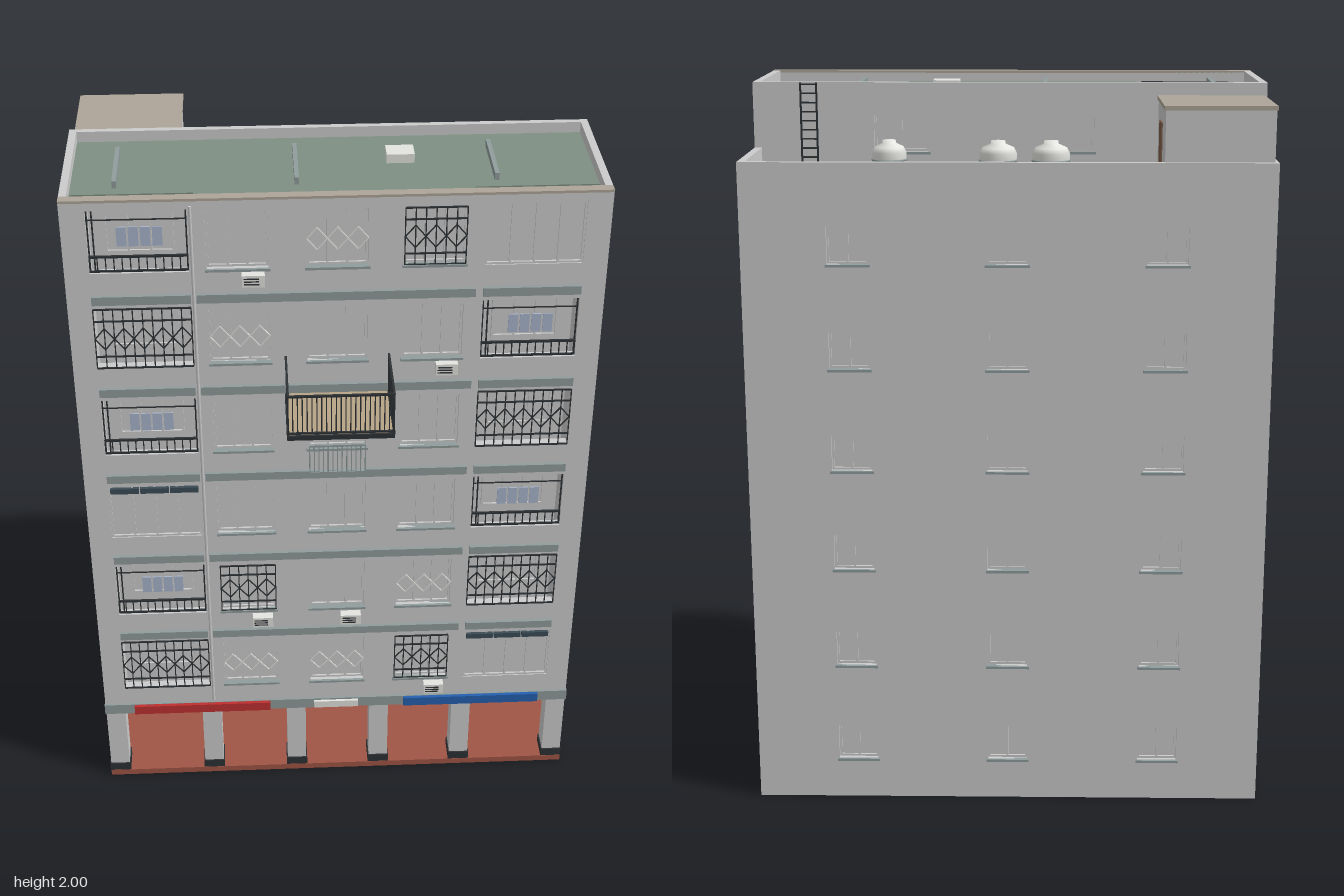
import * as THREE from 'three';
import { mergeGeometries } from 'three/addons/utils/BufferGeometryUtils.js';

const mat = (c, side = THREE.FrontSide) => new THREE.MeshStandardMaterial({ color: c, side });
const M = {
  grey: mat(0xcccccc), trim: mat(0x909c9c), dark: mat(0x2e3234), roof: mat(0x7f8f82), top: mat(0xada598),
  brick: mat(0xa05545), red: mat(0xc03030), blue: mat(0x2560b0), glass: mat(0x466070), black: mat(0x2b343c),
  wood: mat(0xb8a488), door: mat(0x7b5c48), white: mat(0xe4e4e0), cloth: mat(0xaab6cc), shade: mat(0x3c4c56),
};
const FRONT = 0.275, FLOOR = 0.286;

function add(parent, geo, m, name) {
  const mesh = new THREE.Mesh(geo, m);
  mesh.name = name;
  parent.add(mesh);
  return mesh;
}
// box geometry given by its limits
function span(x0, x1, y0, y1, z0, z1) {
  return new THREE.BoxGeometry(x1 - x0, y1 - y0, z1 - z0).translate((x0 + x1) / 2, (y0 + y1) / 2, (z0 + z1) / 2);
}
const box = (p, name, m, ...lim) => add(p, span(...lim), m, name);
// thin bar between two points of the xy plane
function bar(x0, y0, x1, y1, z = 0, t = 0.004) {
  return new THREE.BoxGeometry(Math.hypot(x1 - x0, y1 - y0), t, t)
    .rotateZ(Math.atan2(y1 - y0, x1 - x0)).translate((x0 + x1) / 2, (y0 + y1) / 2, z);
}
// flat wall with rectangular holes [x, y, w, h]
function wall(points, holes, depth) {
  const s = new THREE.Shape(points.map(p => new THREE.Vector2(...p)));
  for (const [x, y, w, h] of holes) {
    s.holes.push(new THREE.Path([[x - w / 2, y - h / 2], [x - w / 2, y + h / 2], [x + w / 2, y + h / 2], [x + w / 2, y - h / 2]]
      .map(p => new THREE.Vector2(...p))));
  }
  return new THREE.ExtrudeGeometry(s, { depth, bevelEnabled: false });
}
const rect = (x0, x1, y0, y1) => [[x0, y0], [x1, y0], [x1, y1], [x0, y1]];

// recessed window with frame, sashes and sill, facing +z
function makeWindow(w, h, sashes, sill = true) {
  const g = new THREE.Group();
  g.name = 'window';
  box(g, 'pane', M.grey, -w / 2, w / 2, -h / 2, h / 2, -0.024, -0.018);
  const f = [];
  for (const s of [-1, 1]) f.push(bar(-w / 2, s * (h / 2 - 0.003), w / 2, s * (h / 2 - 0.003), -0.014, 0.006));
  for (let i = 0; i <= sashes; i++) {
    const x = (i / sashes - 0.5) * (w - 0.006);
    f.push(bar(x, -h / 2, x, h / 2, -0.014, 0.006));
  }
  add(g, mergeGeometries(f), M.grey, 'windowFrame');
  if (sill) box(g, 'sill', M.trim, -w / 2 - 0.005, w / 2 + 0.005, -h / 2 - 0.007, -h / 2, -0.015, 0.008);
  return g;
}
// security grille with a row of diamonds across the middle
function makeGrille(w, h, n, m, bars) {
  const f = [], step = w / n;
  for (let i = 0; i < n; i++) {
    const x = -w / 2 + i * step, c = x + step / 2;
    for (const s of [-1, 1]) f.push(bar(x, 0, c, s * 0.032, 0, 0.003), bar(c, s * 0.032, x + step, 0, 0, 0.003));
  }
  if (bars) {
    for (let i = 0; i <= n * 2; i++) f.push(bar(-w / 2 + i * step / 2, -h / 2, -w / 2 + i * step / 2, h / 2, 0, 0.003));
    for (const y of [-0.5, -0.3, 0.3, 0.5]) f.push(bar(-w / 2, y * h, w / 2, y * h));
  }
  const mesh = new THREE.Mesh(mergeGeometries(f), m);
  mesh.name = 'grille';
  return mesh;
}
function railing(w, h, n, z = 0) {
  const f = [bar(-w / 2, 0, w / 2, 0, z, 0.005), bar(-w / 2, h, w / 2, h, z, 0.006)];
  for (let i = 0; i <= n; i++) f.push(bar((i / n - 0.5) * w, 0, (i / n - 0.5) * w, h, z, 0.003));
  return mergeGeometries(f);
}
function place(parent, o, x, y, z, ry = 0) {
  o.position.set(x, y, z);
  o.rotation.y = ry;
  parent.add(o);
}

// contents of one loggia opening, centred on the opening
function makeLoggia(type, w, h) {
  const g = new THREE.Group();
  g.name = 'loggia';
  place(g, makeWindow(w * 0.7, h * 0.8, 3, false), 0, 0, -0.07);
  if (type === 'L') {
    add(g, railing(w, 0.042, 12).translate(0, -h / 2 + 0.003, -0.008), M.dark, 'loggiaRailing');
    const poles = [-0.49, -0.44, 0.49].map(k => bar(k * w, -h / 2, k * w, h / 2, -0.01));
    add(g, mergeGeometries([...poles, bar(-w / 2, 0.06, w / 2, 0.06, -0.01, 0.003)]), M.dark, 'clothesLine');
    for (let i = 0; i < 4; i++) box(g, 'laundry', M.cloth, -0.055 + i * 0.031, -0.029 + i * 0.031, -0.02, 0.035, -0.02, -0.016);
  } else if (type === 'G') {
    place(g, makeGrille(w, h, 5, M.dark, true), 0, 0, 0.002);
  } else {
    place(g, makeWindow(w, h, 4, false), 0, 0, 0.008);
    if (type === 'A') for (const s of [-1, 0, 1])
      box(g, 'blind', M.shade, s * 0.084 - 0.04, s * 0.084 + 0.04, h / 2 - 0.025, h / 2 - 0.008, -0.012, 0.004);
  }
  return g;
}

function makeShell(b) {
  const sides = [], backs = [], fronts = [];
  for (let r = 0; r < 5; r++) sides.push([-0.24, 1.6 - r * FLOOR, 0.08, 0.1]);
  sides.push([0, 1.86, 0.08, 0.1]);
  for (let r = 0; r < 6; r++) for (const x of [-0.425, 0, 0.425]) backs.push([x, 1.6 - r * FLOOR, 0.11, 0.1]);
  // side walls stepped for the lower rear roof and the arcade
  const profile = [[0, 0], [0, 0.26], [0.25, 0.26], [0.25, 2], [-0.16, 2], [-0.16, 1.82], [-0.48, 1.82], [-0.48, 0]];
  for (const s of [-1, 1]) {
    add(b, wall(profile, sides, 0.02).rotateY(-Math.PI / 2).translate(s > 0 ? 0.71 : -0.69, 0, 0), M.grey, 'sideWall');
    for (const [z, y, w, h] of sides) place(b, makeWindow(w, h, 2), s * 0.71, y, z, s * Math.PI / 2);
  }
  add(b, wall(rect(-0.69, 0.69, 0, 1.82), backs, 0.02).translate(0, 0, -0.48), M.grey, 'backWall');
  for (const [x, y, w, h] of backs) place(b, makeWindow(w, h, 2), x, y, -0.48, Math.PI);
  const setback = [[0.3, 1.86, 0.15, 0.1], [-0.16, 1.86, 0.15, 0.1]];
  add(b, wall(rect(-0.69, 0.69, 1.74, 2), setback, 0.018).translate(0, 0, -0.16), M.grey, 'setbackWall');
  for (const [x, y, w, h] of setback) place(b, makeWindow(w, h, 2), x, y, -0.16, Math.PI);

  // facade: D dark grille, W white diamonds, P plain; L laundry, G grille, A blinds, C closed
  const rows = ['LPWDC', 'GWPPL', 'LPPPG', 'APPPL', 'LDPWG', 'GWWDA'];
  const cols = [-0.515, -0.26, 0, 0.255, 0.515];
  rows.forEach((row, r) => cols.forEach((x, c) => {
    const bay = c === 0 || c === 4, y = 1.88 - r * FLOOR, w = bay ? 0.258 : 0.16, h = bay ? 0.18 : 0.165;
    fronts.push([x, y, w, h]);
    if (bay) place(b, makeLoggia(row[c], w, h), x, y, FRONT);
    else {
      place(b, makeWindow(w, h, 3), x, y, FRONT);
      if (row[c] !== 'P') place(b, makeGrille(w, h, 3, row[c] === 'D' ? M.dark : M.white, row[c] === 'D'), x, y, FRONT + 0.003);
    }
  }));
  add(b, wall(rect(-0.71, 0.71, 0.29, 2), fronts, 0.025).translate(0, 0, FRONT - 0.025), M.grey, 'facade');
  box(b, 'coping', M.top, -0.71, 0.71, 1.994, 2.001, 0.25, FRONT + 0.003);
  for (let r = 0; r < 5; r++) {
    const y = 1.70 - r * FLOOR;
    for (const s of [-1, 1]) box(b, 'loggiaFloor', M.trim, s * 0.515 - 0.13, s * 0.515 + 0.13, y, y + 0.025, 0.18, 0.285);
    box(b, 'cornice', M.trim, -0.37, 0.365, y, y + 0.025, 0.25, 0.285);
  }
  for (const s of [-1, 1]) {
    for (const x of [0.378, 0.652]) box(b, 'loggiaSide', M.grey, s * x - 0.007, s * x + 0.007, 0.29, 1.95, 0.18, 0.25);
    box(b, 'loggiaBack', M.grey, s * 0.53 - 0.16, s * 0.53 + 0.16, 0.29, 1.965, 0.17, 0.182);
    box(b, 'loggiaCap', M.grey, s * 0.675 - 0.018, s * 0.675 + 0.018, 1.94, 1.95, 0.18, 0.25);
  }
  add(b, new THREE.CylinderGeometry(0.004, 0.004, 1.68, 8).translate(-0.377, 1.14, FRONT + 0.003), M.grey, 'drainPipe');
  for (const [x, y] of [[-0.22, 1.77], [0.295, 1.485], [-0.22, 0.62], [0.04, 0.62], [0.295, 0.335]]) {
    box(b, 'airConditioner', M.white, x - 0.03, x + 0.03, y - 0.017, y + 0.017, FRONT, FRONT + 0.025);
    for (const k of [-0.008, 0, 0.008]) box(b, 'airVent', M.dark, x - 0.025, x + 0.015, y + k - 0.0015, y + k + 0.0015, 0.29, 0.302);
  }
}

function makeBalcony(b) {
  const g = new THREE.Group();
  g.name = 'balcony';
  b.add(g);
  box(g, 'balconyDeck', M.wood, -0.138, 0.138, 1.395, 1.41, FRONT, 0.475);
  box(g, 'deckEdge', M.dark, -0.142, 0.142, 1.39, 1.404, 0.465, 0.48);
  add(g, railing(0.28, 0.115, 22).translate(0, 1.41, 0.476), M.dark, 'frontRailing');
  for (const s of [-1, 1]) {
    add(g, railing(0.2, 0.115, 15).rotateY(Math.PI / 2).translate(s * 0.139, 1.41, 0.376), M.dark, 'sideRailing');
    box(g, 'deckSide', M.dark, s * 0.14 - 0.003, s * 0.14 + 0.003, 1.39, 1.412, FRONT, 0.478);
    add(g, wall([[FRONT, 1.345], [0.47, 1.388], [0.47, 1.395], [FRONT, 1.395]], [], 0.016).rotateY(-Math.PI / 2)
      .translate(s * 0.115 + 0.008, 0, 0), M.trim, 'bracket');
  }
  add(b, railing(0.155, 0.09, 12).translate(0, 1.155, 0.295), M.trim, 'windowGuard');
}

function makeGround(b) {
  box(b, 'arcadeFloor', M.brick, -0.71, 0.71, 0, 0.02, 0, 0.28);
  box(b, 'arcadeCeiling', M.grey, -0.69, 0.69, 0.262, 0.288, -0.46, 0.2);
  box(b, 'arcadeBeam', M.trim, -0.712, 0.712, 0.26, 0.295, 0.19, 0.282);
  for (const x of [-0.68, -0.385, -0.125, 0.13, 0.385, 0.68]) {
    box(b, 'column', M.grey, x - 0.029, x + 0.029, 0.02, 0.262, 0.212, 0.275);
    box(b, 'columnBase', M.dark, x - 0.032, x + 0.032, 0.02, 0.047, 0.208, 0.279);
  }
  box(b, 'shopWall', M.grey, -0.69, 0.69, 0, 0.262, -0.015, 0);
  box(b, 'redSign', M.red, -0.62, -0.205, 0.264, 0.294, 0.28, 0.292);
  box(b, 'blueSign', M.blue, 0.205, 0.62, 0.264, 0.294, 0.28, 0.292);
  box(b, 'entranceSign', M.white, -0.07, 0.065, 0.266, 0.29, 0.28, 0.29);
  // shutters, glazing and entrance
  for (const [x0, x1] of [[-0.635, -0.41], [-0.36, -0.185]]) {
    box(b, 'shutterBox', M.trim, x0, x1, 0.232, 0.255, 0, 0.02);
    box(b, 'shutter', M.grey, x0 + 0.01, x1 - 0.01, 0.02, 0.232, 0, 0.005);
    for (let y = 0.04; y < 0.23; y += 0.02) box(b, 'shutterRib', M.grey, x0 + 0.01, x1 - 0.01, y, y + 0.004, 0, 0.008);
  }
  for (const [x0, x1, y0, m] of [[0.195, 0.355, 0.045, M.glass], [0.41, 0.62, 0.045, M.glass], [-0.09, 0.09, 0.02, M.black]]) {
    box(b, 'shopGlass', m, x0, x1, y0, 0.228, -0.018, 0.004);
    const c = (x0 + x1) / 2;
    add(b, mergeGeometries([bar(c, y0, c, 0.228, 0.006), bar(x0, 0.195, x1, 0.195, 0.006), bar(x0, y0, x0, 0.228, 0.006),
      bar(x1, y0, x1, 0.228, 0.006), bar(x0, 0.228, x1, 0.228, 0.006)]), M.trim, 'shopFrame');
  }
  for (const x of [-0.012, 0.012]) box(b, 'doorHandle', M.white, x - 0.002, x + 0.002, 0.09, 0.14, 0.004, 0.012);
  for (let i = 0; i < 3; i++) box(b, 'mailbox', M.trim, 0.153, 0.177, 0.1 + i * 0.021, 0.118 + i * 0.021, 0, 0.014);
  box(b, 'wallPlate', M.blue, -0.17, -0.152, 0.175, 0.197, 0, 0.01);
}

function makeRoofs(b) {
  box(b, 'mainRoof', M.roof, -0.69, 0.69, 1.95, 1.97, -0.142, 0.18);
  box(b, 'mainRoofFront', M.roof, -0.37, 0.365, 1.95, 1.97, 0.18, 0.25);
  box(b, 'rearRoof', M.roof, -0.69, 0.69, 1.725, 1.745, -0.46, -0.15);
  for (const x of [-0.575, -0.1, 0.425]) box(b, 'roofRib', M.trim, x - 0.006, x + 0.006, 1.97, 1.99, -0.065, 0.145);
  box(b, 'roofHatch', M.white, 0.143, 0.218, 1.97, 1.995, -0.03, 0.03);
  // stair room
  box(b, 'stairRoom', M.grey, -0.7, -0.412, 1.745, 1.955, -0.465, -0.161);
  box(b, 'stairRoomRoof', M.top, -0.703, -0.408, 1.955, 1.966, -0.47, -0.161);
  box(b, 'stairDoor', M.door, -0.415, -0.408, 1.745, 1.91, -0.345, -0.26);
  // water tanks
  for (const [x, z, r] of [[-0.115, -0.345, 0.05], [0.027, -0.345, 0.05], [0.32, -0.332, 0.046]]) {
    const prof = [[0, 0], [r, 0], [r, 0.078], [r * 0.85, 0.092], [r * 0.4, 0.102], [r * 0.38, 0.11], [0, 0.112]];
    add(b, new THREE.LatheGeometry(prof.map(p => new THREE.Vector2(...p)), 24).translate(x, 1.752, z), M.white, 'waterTank');
    for (const y of [1.75, 1.78, 1.81])
      add(b, new THREE.TorusGeometry(r, 0.003, 6, 24).rotateX(Math.PI / 2).translate(x, y, z), M.trim, 'tankHoop');
    add(b, new THREE.CylinderGeometry(0.003, 0.003, 0.05, 6).rotateX(Math.PI / 2).translate(x + 0.024, 1.755, z + 0.065), M.dark, 'tankPipe');
  }
  for (const x of [0.53, 0.615]) box(b, 'roofUnit', M.white, x - 0.035, x + 0.035, 1.745, 1.79, -0.43, -0.405);
  // ladder up the setback wall
  const f = [-0.022, 0.022].map(x => bar(x, 1.75, x, 2, 0, 0.005));
  for (let y = 1.77; y < 2; y += 0.025) f.push(bar(-0.022, y, 0.022, y));
  add(b, mergeGeometries(f).translate(0.555, 0, -0.167), M.dark, 'ladder');
}

export function createModel() {
  const building = new THREE.Group();
  building.name = 'apartmentBuilding';
  makeShell(building);
  makeBalcony(building);
  makeGround(building);
  makeRoofs(building);
  return building;
}
